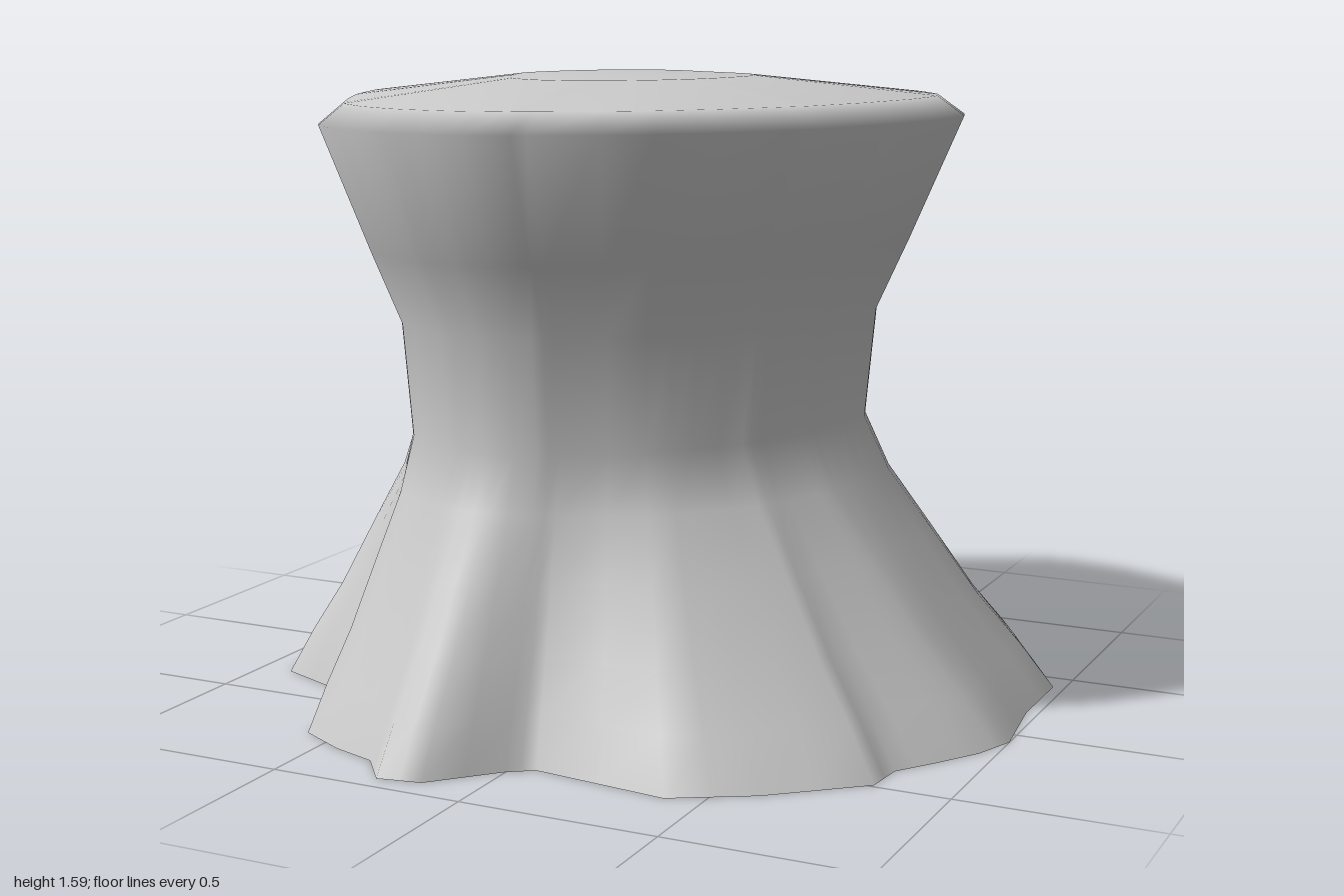
import * as THREE from 'three';

const CX = -0.055, CZ = 0.03;

// Flared, uneven foot outline (x, z pairs)
const FOOT = [
  0.03, -0.95, 0.53, -0.79, 0.62, -0.72, 0.86, -0.62, 0.97, -0.42, 0.97, -0.18,
  1, 0.06, 0.96, 0.17, 0.89, 0.28, 0.82, 0.38, 0.81, 0.49, 0.6, 0.67, 0.41, 0.78,
  0.06, 0.74, 0, 0.78, -0.14, 0.93, -0.25, 0.95, -0.33, 0.85, -0.45, 0.81,
  -0.58, 0.74, -0.59, 0.6, -0.72, 0.41, -0.91, 0.33, -0.94, 0.23, -0.9, 0.1,
  -1, -0.06, -0.97, -0.17, -0.78, -0.54, -0.28, -0.86, -0.18, -0.87,
];
// Rounded, lopsided top outline
const RIM = [
  -0.15, -0.78, 0.05, -0.75, 0.2, -0.68, 0.4, -0.61, 0.58, -0.54, 0.69, -0.42,
  0.73, -0.3, 0.72, -0.15, 0.66, 0.08, 0.58, 0.28, 0.44, 0.48, 0.27, 0.66,
  0.1, 0.75, -0.02, 0.82, -0.15, 0.84, -0.3, 0.83, -0.44, 0.77, -0.55, 0.68,
  -0.65, 0.5, -0.75, 0.3, -0.82, 0.1, -0.84, -0.03, -0.8, -0.18, -0.73, -0.35,
  -0.6, -0.55, -0.45, -0.71, -0.3, -0.76,
];

const toPoints = (flat) => {
  const pts = [];
  for (let i = 0; i < flat.length; i += 2) pts.push(new THREE.Vector2(flat[i] - CX, flat[i + 1] - CZ));
  return pts;
};

// Point where a ray from the centre along dir leaves the outline
function hit(outline, dir) {
  for (let i = 0; i < outline.length; i++) {
    const a = outline[i], e = outline[(i + 1) % outline.length].clone().sub(a);
    const d = dir.cross(e);
    const t = a.cross(e) / d, s = a.cross(dir) / d;
    if (t > 0 && s >= -1e-6 && s <= 1 + 1e-6) return dir.clone().multiplyScalar(t);
  }
  return dir.clone();
}

// Geometry from stacked rings; optional centre point closes the last ring
function loft(rings, closeY) {
  const n = rings[0].pts.length, pos = [], idx = [];
  for (const { y, pts } of rings) for (const p of pts) pos.push(p.x + CX, y, p.y + CZ);
  for (let r = 0; r < rings.length - 1; r++) {
    for (let i = 0; i < n; i++) {
      const j = (i + 1) % n, a = r * n + i, b = r * n + j;
      idx.push(a, a + n, b, b, a + n, b + n);
    }
  }
  if (closeY !== undefined) {
    const c = pos.length / 3, base = (rings.length - 1) * n;
    pos.push(CX, closeY, CZ);
    for (let i = 0; i < n; i++) idx.push(base + i, c, base + (i + 1) % n);
  }
  const g = new THREE.BufferGeometry();
  g.setAttribute('position', new THREE.Float32BufferAttribute(pos, 3));
  g.setIndex(idx);
  g.computeVertexNormals();
  return g;
}

export function createModel() {
  const group = new THREE.Group();
  group.name = 'pedestal';
  const material = new THREE.MeshStandardMaterial({ color: 0xcccccc, side: THREE.DoubleSide });

  // Foot corners plus midpoints give the directions shared by all rings
  const corners = toPoints(FOOT), foot = [];
  corners.forEach((p, i) => foot.push(p, p.clone().lerp(corners[(i + 1) % corners.length], 0.5)));
  const rimOutline = toPoints(RIM);
  const rim = foot.map((p) => hit(rimOutline, p.clone().normalize()));

  const scaled = (y, s) => ({ y, pts: rim.map((p) => p.clone().multiplyScalar(s)) });
  const flared = (y, t) => ({ y, pts: rim.map((p, i) => p.clone().multiplyScalar(0.72).lerp(foot[i], t)) });

  // Flared skirt, narrow waist, spreading neck and gently domed top
  const body = new THREE.Mesh(loft([
    flared(0, 1), flared(0.12, 0.82), flared(0.25, 0.6), flared(0.42, 0.36), flared(0.58, 0.13),
    scaled(0.72, 0.72), scaled(1, 0.75), scaled(1.18, 0.845), scaled(1.49, 1),
    scaled(1.54, 0.92), scaled(1.59, 0.38),
  ], 1.59), material);
  body.name = 'body';
  group.add(body);

  // Flat underside
  const under = new THREE.Mesh(loft([{ y: 0, pts: foot.slice().reverse() }], 0), material);
  under.name = 'underside';
  group.add(under);
  return group;
}
